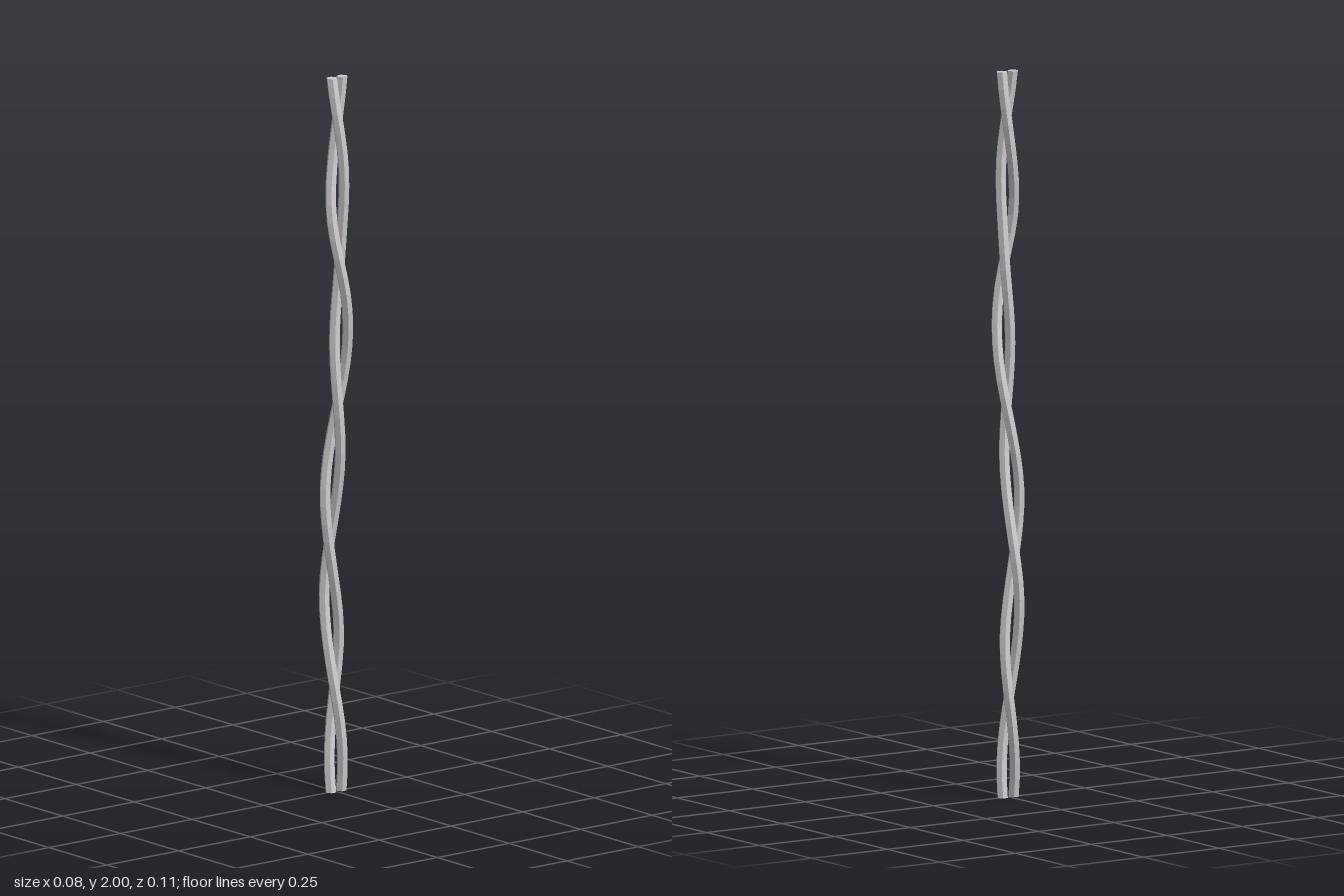
import * as THREE from 'three';

const HEIGHT = 2;
const STRAND_RADIUS = 0.0155;
const TWIST_RADIUS = 0.018;
const TURN_HEIGHT = 0.8; // height of one full turn

// Gently wandering centre line of the pair: [x, z] at every 0.2 of height
const drift = [
  [0.003, 0], [0.008, -0.009], [0.008, -0.018], [-0.002, -0.023],
  [-0.008, -0.011], [0, 0.003], [0.006, 0.014], [0.003, 0.023],
  [-0.009, 0.02], [0, 0.012], [0.003, 0.004],
];
const centreLine = new THREE.CatmullRomCurve3(
  drift.map(([x, z], i) => new THREE.Vector3(x, i * 0.2, z)));

// One six-sided strand: a capped cylinder whose rings follow the twist
function strand(name, phase, material) {
  const geometry = new THREE.CylinderGeometry(STRAND_RADIUS, STRAND_RADIUS, HEIGHT, 6, 40);
  geometry.rotateY(Math.PI / 2).translate(0, HEIGHT / 2, 0);
  const position = geometry.attributes.position;
  for (let i = 0; i < position.count; i++) {
    const y = position.getY(i);
    const centre = centreLine.getPoint(THREE.MathUtils.clamp(y / HEIGHT, 0, 1));
    const angle = phase + (2 * Math.PI * y) / TURN_HEIGHT;
    position.setX(i, position.getX(i) + centre.x + TWIST_RADIUS * Math.cos(angle));
    position.setZ(i, position.getZ(i) + centre.z + TWIST_RADIUS * Math.sin(angle));
  }
  geometry.computeVertexNormals();
  const mesh = new THREE.Mesh(geometry, material);
  mesh.name = name;
  return mesh;
}

export function createModel() {
  const group = new THREE.Group();
  group.name = 'twistedVine';
  const material = new THREE.MeshStandardMaterial({ color: 0xcccccc, flatShading: true });
  // Two strands, half a turn apart
  ['firstStrand', 'secondStrand'].forEach((name, i) =>
    group.add(strand(name, i * Math.PI, material)));
  return group;
}
